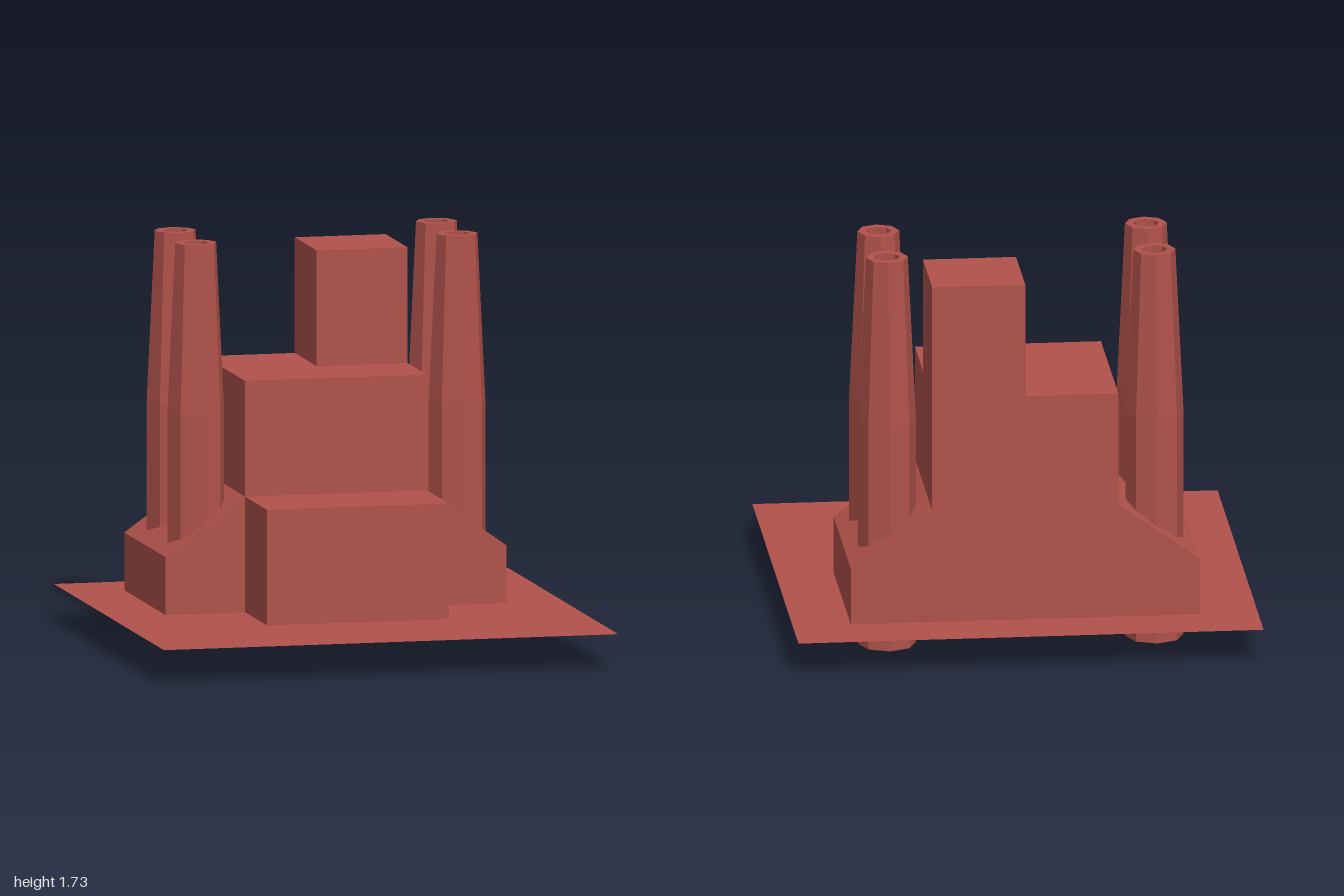
import * as THREE from 'three';

const GROUND = 0.15, BACK = -0.75, STEP = -0.35, FRONT = 0.4;

const material = new THREE.MeshStandardMaterial({ color: 0xb0524a, flatShading: true, side: THREE.DoubleSide });

function add(parent, name, geometry) {
  const mesh = new THREE.Mesh(geometry, material);
  mesh.name = name;
  parent.add(mesh);
  return mesh;
}

const shapeOf = (points) => new THREE.Shape(points.map(([x, y]) => new THREE.Vector2(x, y)));

// Open sheet following an [x, y] profile, swept from z0 to z1
function sweep(profile, z0, z1) {
  const position = [];
  for (let i = 0; i < profile.length - 1; i++) {
    const [px, py] = profile[i], [qx, qy] = profile[i + 1];
    const a = [px, py, z1], b = [qx, qy, z1], c = [qx, qy, z0], d = [px, py, z0];
    position.push(...a, ...b, ...c, ...a, ...c, ...d);
  }
  const geometry = new THREE.BufferGeometry();
  geometry.setAttribute('position', new THREE.Float32BufferAttribute(position, 3));
  geometry.computeVertexNormals();
  return geometry;
}

// Flat upright wall at a given depth
const wall = (points, z) => new THREE.ShapeGeometry(shapeOf(points)).translate(0, 0, z);

const rect = (x0, x1, y0, y1) => [[x0, y0], [x1, y0], [x1, y1], [x0, y1]];

export function createModel() {
  const model = new THREE.Group();
  model.name = 'factory';

  // Ground sheet, cut out beneath the building
  const ground = shapeOf(rect(-1, 1, -1, 1));
  ground.holes.push(shapeOf([
    [-0.75, -BACK], [0.75, -BACK], [0.75, 0], [0.4, 0],
    [0.4, -FRONT], [-0.4, -FRONT], [-0.4, 0], [-0.75, 0],
  ]));
  add(model, 'ground', new THREE.ShapeGeometry(ground).rotateX(-Math.PI / 2).translate(0, GROUND, 0));

  // Building shell, open underneath
  const building = new THREE.Group();
  building.name = 'building';
  model.add(building);

  const leftSide = [[-0.75, GROUND], [-0.75, 0.4], [-0.4, 0.65], [-0.4, 1.15]];
  const rightSide = leftSide.map(([x, y]) => [-x, y]).reverse();
  const towerProfile = [...leftSide, [0, 1.15], [0, 1.65], [0.4, 1.65], ...rightSide];
  const hallProfile = [...leftSide, ...rightSide];
  const porchProfile = [[-0.4, GROUND], [-0.4, 0.65], [0.4, 0.65], [0.4, GROUND]];

  add(building, 'towerSection', sweep(towerProfile, BACK, STEP));
  add(building, 'hallSection', sweep(hallProfile, STEP, 0));
  add(building, 'frontBlock', sweep(porchProfile, 0, FRONT));

  add(building, 'backWall', wall(towerProfile, BACK));
  add(building, 'towerFrontWall', wall(rect(0, 0.4, 1.15, 1.65), STEP));
  add(building, 'hallFrontWall', wall(rect(-0.4, 0.4, 0.65, 1.15), 0));
  add(building, 'frontBlockWall', wall(porchProfile, FRONT));
  for (const s of [-1, 1]) {
    add(building, 'wingFrontWall', wall([[s * 0.4, GROUND], [s * 0.75, GROUND], [s * 0.75, 0.4], [s * 0.4, 0.65]], 0));
  }

  // Four eight-sided chimneys with hollow tops
  const chimneyProfile = [
    [0, 0], [0.125, 0], [0.125, 1], [0.09, 1.73], [0.055, 1.73], [0.055, 1.62], [0, 1.62],
  ].map(([r, y]) => new THREE.Vector2(r, y));
  const chimneyGeometry = new THREE.LatheGeometry(chimneyProfile, 8);
  for (const x of [-0.575, 0.575]) {
    for (const z of [-0.55, -0.175]) {
      add(model, 'chimney', chimneyGeometry).position.set(x, 0, z);
    }
  }

  return model;
}
